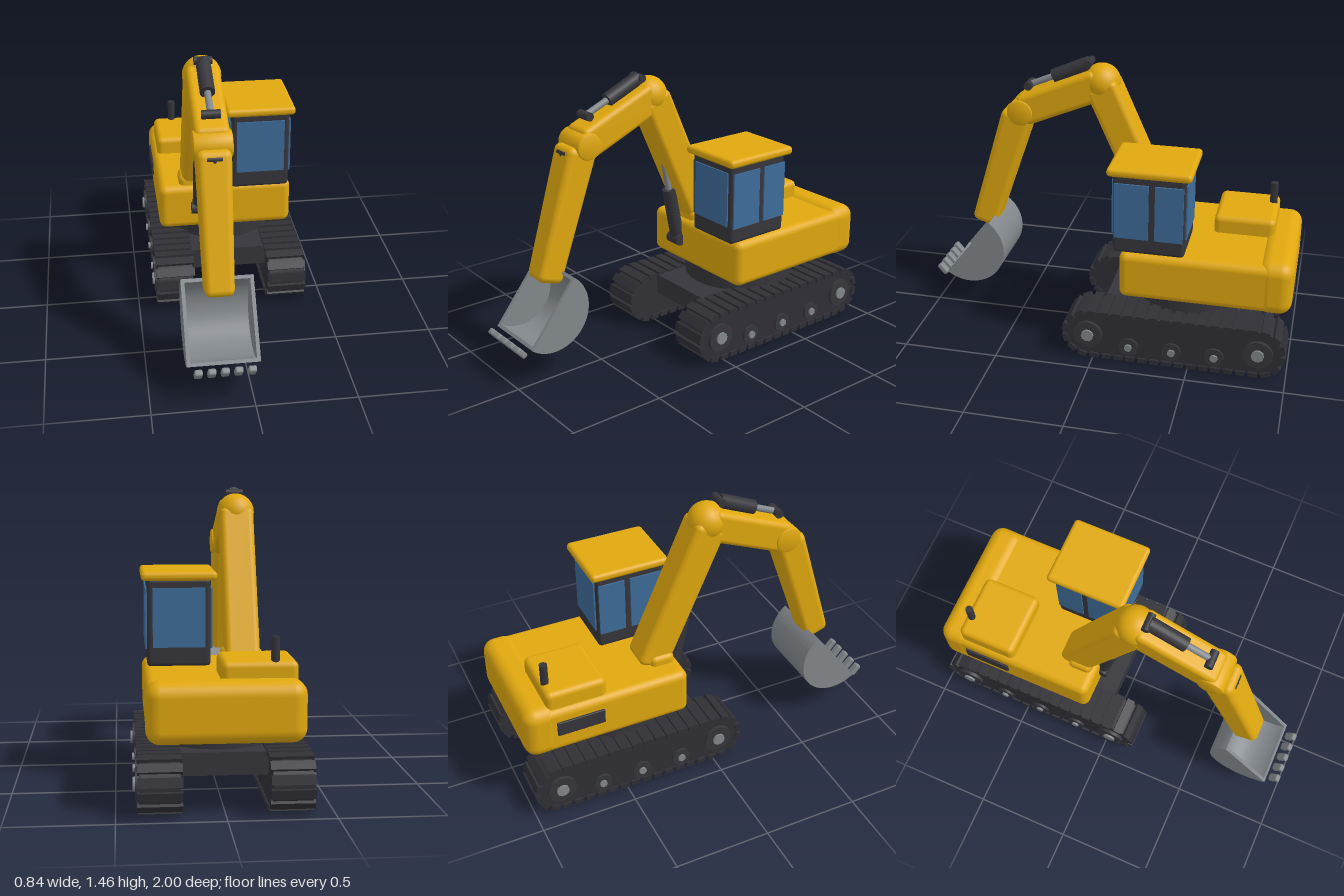
import * as THREE from 'three';
import { toCreasedNormals } from 'three/addons/utils/BufferGeometryUtils.js';
import { RoundedBoxGeometry } from 'three/addons/geometries/RoundedBoxGeometry.js';

const mat = (name, color) => new THREE.MeshStandardMaterial({ name, color });

export function createModel() {
  const root = new THREE.Group();
  root.name = 'excavator';
  const yellow = mat('yellow paint', 0xe0a80f);
  const dark = mat('dark frame', 0x36353b);
  const rubber = mat('track dark', 0x302f35);
  const steel = mat('steel grey', 0x82878b);
  const glass = mat('blue glass', 0x3e6c99);
  const AX = -0.143; // x of the digging arm

  const add = (name, geo, material, x = 0, y = 0, z = 0, parent = root) => {
    const m = new THREE.Mesh(geo, material);
    m.name = name;
    m.position.set(x, y, z);
    parent.add(m);
    return m;
  };
  // Rounded box given by its x, y and z ranges
  const block = (name, material, [x0, x1], [y0, y1], [z0, z1], r) =>
    add(name, new RoundedBoxGeometry(x1 - x0, y1 - y0, z1 - z0, 4, r), material,
      (x0 + x1) / 2, (y0 + y1) / 2, (z0 + z1) / 2);
  // Cylinder lying along x
  const axle = (name, material, r, len, x, y, z, sides = 24) =>
    add(name, new THREE.CylinderGeometry(r, r, len, sides).rotateZ(Math.PI / 2), material, x, y, z);
  // Places a y-aligned geometry between two [z, y] points in the arm plane
  const span = (name, makeGeo, material, a, b) => {
    const dz = b[0] - a[0], dy = b[1] - a[1];
    const m = add(name, makeGeo(Math.hypot(dz, dy)), material, AX, (a[1] + b[1]) / 2, (a[0] + b[0]) / 2);
    m.rotation.x = Math.atan2(dz, dy);
    return m;
  };
  const beam = (w, d, r, endScale = 1) => len => {
    const g = new RoundedBoxGeometry(w, len, d, 4, r);
    const p = g.attributes.position;
    for (let i = 0; i < p.count; i++) {
      const s = 1 + (endScale - 1) * (p.getY(i) / len + 0.5);
      p.setX(i, p.getX(i) * s);
      p.setZ(i, p.getZ(i) * s);
    }
    return g;
  };
  const rod = r => len => new THREE.CylinderGeometry(r, r, len, 20);

  // Tracks: stadium core, shoes around it, wheels on the outer face
  const zF = 0.025, zB = -0.855, yC = 0.14, R = 0.125;
  const straight = zF - zB, arc = Math.PI * R, loop = 2 * (straight + arc);
  const trackPoint = s => {
    if (s < straight) return [zB + s, yC + R, 0];
    s -= straight;
    if (s < arc) { const a = s / R; return [zF + R * Math.sin(a), yC + R * Math.cos(a), a]; }
    s -= arc;
    if (s < straight) return [zF - s, yC - R, Math.PI];
    const a = (s - straight) / R;
    return [zB - R * Math.sin(a), yC - R * Math.cos(a), Math.PI + a];
  };
  const core = new THREE.Shape();
  core.absarc(-zF, yC, R, -Math.PI / 2, Math.PI / 2, true);
  core.absarc(-zB, yC, R, Math.PI / 2, -Math.PI / 2, true);
  const coreGeo = toCreasedNormals(
    new THREE.ExtrudeGeometry(core, { depth: 0.184, bevelEnabled: false, curveSegments: 16 })
      .translate(0, 0, -0.092).rotateY(Math.PI / 2), 0.6);
  const shoeGeo = new THREE.BoxGeometry(0.205, 0.026, 0.046);
  for (const side of [-1, 1]) {
    const x = side * 0.3;
    add('trackCore', coreGeo, rubber, x);
    const shoes = 40;
    for (let i = 0; i < shoes; i++) {
      const [z, y, a] = trackPoint((i + 0.5) / shoes * loop);
      add('trackShoe', shoeGeo, rubber, x, y, z).rotation.x = a;
    }
    for (const z of [zF, zB]) {
      axle('trackWheel', dark, 0.075, 0.03, side * 0.395, yC, z);
      axle('trackWheelHub', steel, 0.033, 0.03, side * 0.406, yC, z, 10);
    }
    for (const z of [-0.19, -0.415, -0.635]) {
      axle('roller', dark, 0.05, 0.03, side * 0.39, 0.09, z);
      axle('rollerHub', steel, 0.02, 0.03, side * 0.401, 0.09, z, 10);
    }
  }

  // Chassis and turntable
  add('chassis', new THREE.BoxGeometry(0.42, 0.11, 0.77), dark, 0, 0.21, -0.415);
  add('turntable', new THREE.CylinderGeometry(0.3, 0.3, 0.1, 40), dark, 0, 0.31, -0.45);

  // Upper body
  block('body', yellow, [-0.36, 0.36], [0.355, 0.608], [-0.97, -0.125], 0.04);
  block('counterweight', yellow, [-0.363, 0.363], [0.342, 0.625], [-1, -0.82], 0.065);
  block('engineHood', yellow, [-0.335, 0.015], [0.57, 0.7], [-0.876, -0.56], 0.03);
  add('exhaust', new THREE.CylinderGeometry(0.02, 0.02, 0.15, 16), dark, -0.23, 0.735, -0.845);
  block('sideVent', dark, [-0.371, -0.352], [0.46, 0.54], [-0.84, -0.59], 0.005);

  // Cab with glass panes on all four sides
  block('cab', dark, [0.03, 0.34], [0.605, 1.035], [-0.455, -0.09], 0.02);
  block('cabRoof', yellow, [0, 0.368], [1.025, 1.07], [-0.487, -0.063], 0.02);
  for (const z of [-0.087, -0.458])
    add('endWindow', new THREE.BoxGeometry(0.255, 0.29, 0.009), glass, 0.185, 0.845, z);
  for (const x of [0.026, 0.344])
    for (const [z0, z1] of [[-0.273, -0.1], [-0.447, -0.305]])
      add('sideWindow', new THREE.BoxGeometry(0.009, 0.295, z1 - z0), glass, x, 0.84, (z0 + z1) / 2);

  // Boom: foot, lower and upper sections, elbow and stick pivot
  block('boomFoot', yellow, [-0.248, -0.04], [0.56, 0.66], [-0.28, -0.15], 0.03);
  const elbow = [0.07, 1.332], pivot = [0.497, 1.152];
  span('lowerBoom', beam(0.175, 0.17, 0.03), yellow, [-0.262, 0.59], elbow);
  span('upperBoom', beam(0.17, 0.165, 0.03), yellow, elbow, pivot);
  add('boomElbow', new THREE.SphereGeometry(0.098, 32, 20), yellow, AX, elbow[1], elbow[0]);
  const drum = [[0, -0.095], [0.058, -0.095], [0.067, -0.091], [0.07, -0.083],
    [0.07, 0.083], [0.067, 0.091], [0.058, 0.095], [0, 0.095]].map(p => new THREE.Vector2(...p));
  add('stickPivot', toCreasedNormals(new THREE.LatheGeometry(drum, 32).rotateZ(Math.PI / 2), 0.7),
    yellow, AX, pivot[1], pivot[0]);

  // Stick, narrowing towards the bucket
  span('stick', beam(0.17, 0.167, 0.035, 0.84), yellow, [0.517, 1.14], [0.737, 0.472]);

  // Hydraulic cylinders
  span('liftCylinder', rod(0.037), dark, [-0.122, 0.49], [-0.062, 0.785]);
  span('liftRod', rod(0.017), steel, [-0.062, 0.785], [-0.01, 1.04]);
  axle('liftPin', dark, 0.032, 0.09, AX, 0.487, -0.112);
  span('stickCylinder', rod(0.037), dark, [0.135, 1.428], [0.328, 1.343]);
  span('stickRod', rod(0.017), steel, [0.328, 1.343], [0.46, 1.287]);
  axle('stickPin', dark, 0.02, 0.09, AX, 1.432, 0.135);
  axle('stickRodPin', dark, 0.022, 0.09, AX, 1.288, 0.46);
  span('bucketCylinder', rod(0.03), dark, [0.583, 1.118], [0.602, 0.98]);
  axle('bucketPin', dark, 0.013, 0.075, AX, 1.122, 0.6);

  // Bucket: half-round shell between two half-disc cheeks
  const bucket = new THREE.Group();
  bucket.name = 'bucket';
  bucket.position.set(AX, 0.366, 0.797);
  root.add(bucket);
  const a0 = -2.237, a1 = a0 + Math.PI, rOut = 0.208, rIn = 0.19;
  const shell = new THREE.Shape();
  shell.absarc(0, 0, rOut, a0, a1, false);
  shell.absarc(0, 0, rIn, a1, a0, true);
  const cheek = new THREE.Shape();
  cheek.absarc(0, 0, rOut, a0, a1, false);
  const slab = (shape, depth) => toCreasedNormals(
    new THREE.ExtrudeGeometry(shape, { depth, bevelEnabled: false, curveSegments: 32 })
      .translate(0, 0, -depth / 2).rotateY(Math.PI / 2), 0.6);
  add('bucketShell', slab(shell, 0.32), steel, 0, 0, 0, bucket);
  for (const s of [-1, 1]) add('bucketCheek', slab(cheek, 0.018), steel, s * 0.168, 0, 0, bucket);

  // Teeth in front of the bucket lip
  const toothGeo = new RoundedBoxGeometry(0.04, 0.068, 0.032, 3, 0.01);
  for (let i = -2; i <= 2; i++)
    add('bucketTooth', toothGeo, steel, AX + i * 0.064, 0.19, 0.968).rotation.x = 0.7;

  return root;
}
